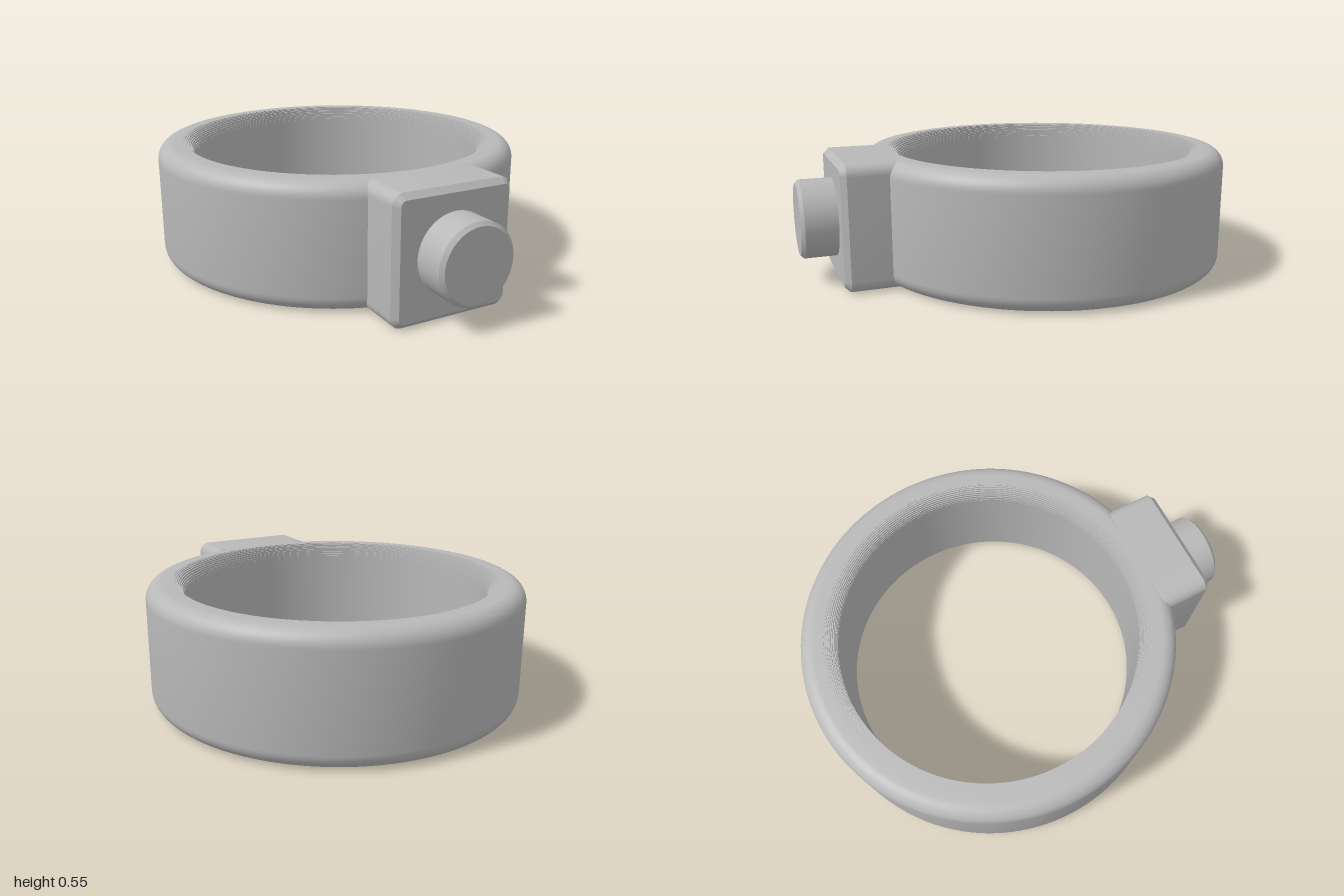
import * as THREE from 'three';
import { toCreasedNormals } from 'three/addons/utils/BufferGeometryUtils.js';

const H = 0.552;          // ring and block height
const RING_Z = -0.155;    // ring axis
const R_OUT = 0.845, R_IN = 0.68;

// Ring cross-section: smooth outer fillets, finely stepped inner edges
function ringProfile() {
  const fillet = 0.07, stepW = 0.05, stepH = 0.07, steps = 10;
  const lower = [];
  let r = R_IN, y = stepH;
  lower.push([r, y]);
  for (let i = 1; i <= steps; i++) {
    const a = (i / steps) * Math.PI / 2;
    r = R_IN + stepW * (1 - Math.cos(a));
    lower.push([r, y]);
    y = stepH * (1 - Math.sin(a));
    lower.push([r, y]);
  }
  for (let i = 0; i <= 10; i++) {
    const a = (i / 10) * Math.PI / 2;
    lower.push([R_OUT - fillet + fillet * Math.sin(a), fillet - fillet * Math.cos(a)]);
  }
  const upper = lower.map(([pr, py]) => [pr, H - py]).reverse();
  return [...lower, ...upper, lower[0]].map(([pr, py]) => new THREE.Vector2(pr, py));
}

function roundedRect(w, h, r) {
  const s = new THREE.Shape();
  const x = w / 2 - r, y = h / 2 - r;
  s.absarc(x, y, r, 0, Math.PI / 2);
  s.absarc(-x, y, r, Math.PI / 2, Math.PI);
  s.absarc(-x, -y, r, Math.PI, Math.PI * 1.5);
  s.absarc(x, -y, r, Math.PI * 1.5, Math.PI * 2);
  s.closePath();
  return s;
}

export function createModel() {
  const model = new THREE.Group();
  model.name = 'clampRing';
  const grey = new THREE.MeshStandardMaterial({ color: 0xb8b8b8 });
  grey.name = 'grey';

  const add = (name, geometry, y, z) => {
    const mesh = new THREE.Mesh(toCreasedNormals(geometry, 0.5), grey);
    mesh.name = name;
    mesh.position.set(0, y, z);
    model.add(mesh);
  };

  // Ring band
  add('ring', new THREE.LatheGeometry(ringProfile(), 128), 0, RING_Z);

  // Mounting block with rounded corners and chamfered front
  const bevel = 0.025;
  const block = new THREE.ExtrudeGeometry(roundedRect(0.55 - 2 * bevel, H - 2 * bevel, 0.025), {
    depth: 0.21, bevelEnabled: true, bevelSize: bevel, bevelThickness: bevel,
    bevelSegments: 1, curveSegments: 8,
  });
  add('mountingBlock', block, H / 2, 0.61);

  // Round button with chamfered rim
  const knob = new THREE.LatheGeometry([
    [0, 0], [0.173, 0], [0.173, 0.165], [0.157, 0.18], [0, 0.18],
  ].map(([r, y]) => new THREE.Vector2(r, y)), 64);
  knob.rotateX(Math.PI / 2);
  add('button', knob, 0.28, 0.82);

  return model;
}
